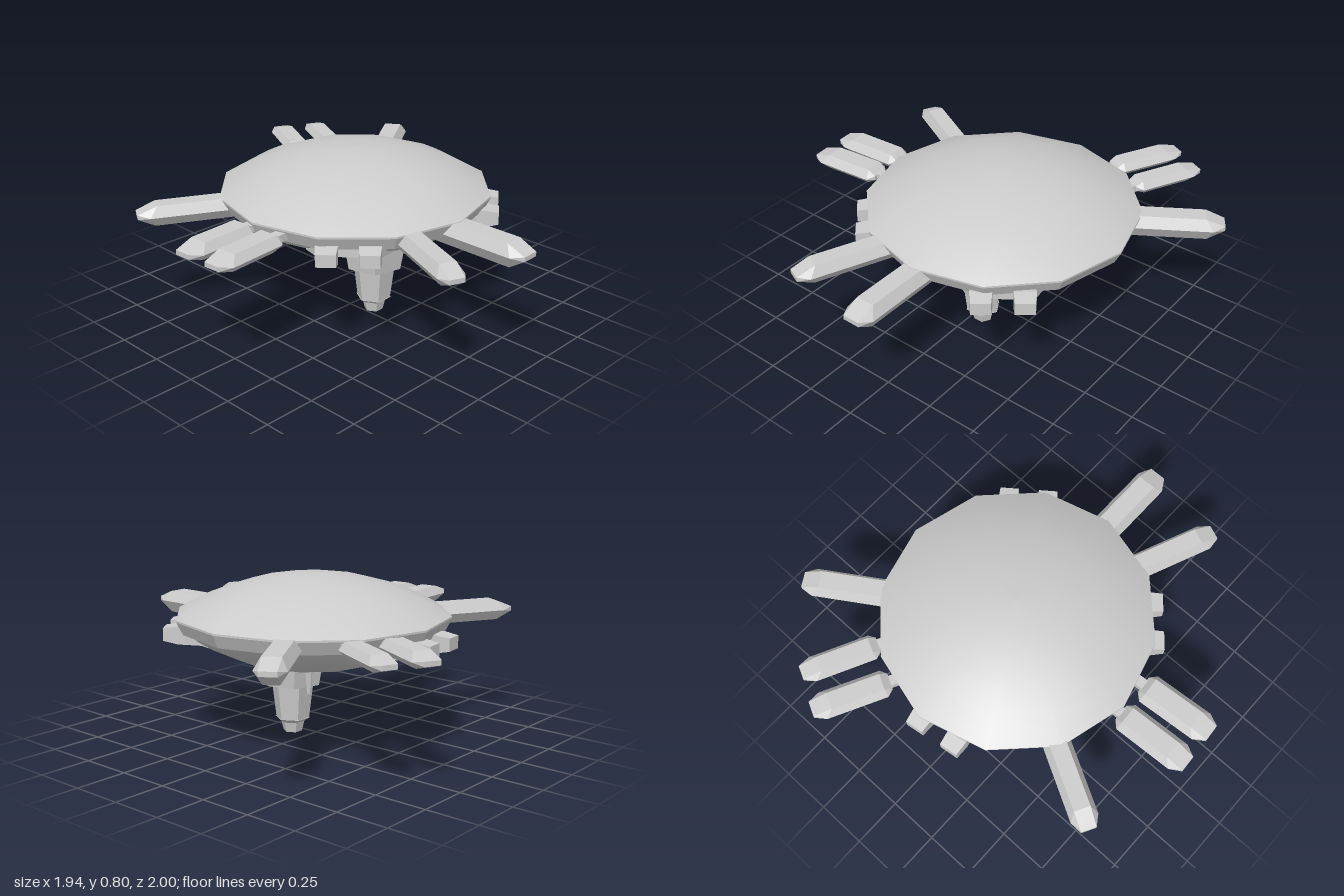
import * as THREE from 'three';
import { ConvexGeometry } from 'three/addons/geometries/ConvexGeometry.js';

const CX = 0.06, CZ = -0.03; // disc axis
const V = (x, y, z) => new THREE.Vector3(x, y, z);

function createMaterial(flat) {
  return new THREE.MeshStandardMaterial({ color: 0xcccccc, flatShading: flat, side: THREE.DoubleSide });
}

export function createModel() {
  const root = new THREE.Group();
  root.name = 'discStation';
  const smooth = createMaterial(false), flat = createMaterial(true);

  const add = (name, geometry, material, parent = root) => {
    const mesh = new THREE.Mesh(geometry, material);
    mesh.name = name;
    parent.add(mesh);
    return mesh;
  };
  const hull = (name, points, parent) => add(name, new ConvexGeometry(points), flat, parent);

  // Twelve-sided disc: bowl, rim band and dome, profiles run bottom to top
  const disc = (name, profile, material) => {
    const points = profile.map(([r, y]) => new THREE.Vector2(r, y));
    add(name, new THREE.LatheGeometry(points, 12), material).position.set(CX, 0, CZ);
  };
  disc('lowerBowl', [[0, 0.395], [0.31, 0.395], [0.4, 0.425], [0.49, 0.465], [0.56, 0.51], [0.6, 0.55]], smooth);
  disc('rim', [[0.58, 0.545], [0.625, 0.545], [0.655, 0.605], [0.655, 0.614]], flat);
  disc('dome', [[0.655, 0.614], [0.6, 0.645], [0.5, 0.695], [0.39, 0.737], [0.26, 0.773], [0.13, 0.794], [0, 0.8]], smooth);

  // Hanging tower of stacked hexagonal tapers
  const tower = new THREE.Group();
  tower.name = 'tower';
  tower.position.set(0.05, 0, 0.11);
  root.add(tower);
  [
    ['towerBase', 0.172, 0.143, 0.41, 0.245, Math.PI / 12],
    ['towerShaft', 0.104, 0.082, 0.25, 0.07, Math.PI / 6],
    ['towerCollar', 0.086, 0.058, 0.07, 0.05, Math.PI / 6],
    ['towerTip', 0.058, 0.046, 0.05, 0, Math.PI / 6],
  ].forEach(([name, rTop, rBottom, top, bottom, turn]) => {
    const section = add(name, new THREE.CylinderGeometry(rTop, rBottom, top - bottom, 6), flat, tower);
    section.position.y = (top + bottom) / 2;
    section.rotation.y = turn;
  });

  // Antenna spikes under the bowl
  [[0.3, 0.05, 0.3], [0.285, -0.2, 0.29], [-0.19, -0.04, 0.31]].forEach(([x, z, bottom]) => {
    const spike = add('antenna', new THREE.CylinderGeometry(0.018, 0.009, 0.41 - bottom, 6), flat);
    spike.position.set(x, (0.41 + bottom) / 2, z);
  });

  // Docking arm: bevelled bar with tapered tip; free arms taper at both ends
  const arm = ([x0, z0, x1, z1, width, top, bottom, free]) => {
    const length = Math.hypot(x1 - x0, z1 - z0), w = width / 2;
    const mid = top - Math.min(0.05, (top - bottom) * 0.5);
    const points = [];
    const ring = (s, sTop, sBottom) => {
      for (const side of [-1, 1]) {
        points.push(V(side * w * 0.6, top, sTop), V(side * w, mid, s), V(side * w * 0.5, bottom, sBottom));
      }
    };
    const nose = (s) => {
      for (const side of [-1, 1]) points.push(V(side * w * 0.55, mid + 0.012, s), V(side * w * 0.55, mid - 0.01, s));
    };
    ring(length - 0.055, length - 0.09, length - 0.08);
    nose(length);
    if (free) {
      ring(0.03, 0.035, 0.05);
      nose(0);
    } else {
      ring(-0.06, -0.06, -0.06);
    }
    const group = new THREE.Group();
    group.name = 'dockingArm';
    group.position.set(x0, 0, z0);
    group.rotation.y = Math.atan2(x1 - x0, z1 - z0);
    root.add(group);
    hull('armBody', points, group);
    if (free) {
      add('armStub', new THREE.BoxGeometry(0.05, 0.035, 0.16), flat, group).position.set(0, 0.58, -0.03);
    }
  };
  [
    [0.06, 0.55, 0.06, 1.0, 0.15, 0.612, 0.5, false],
    [-0.19, 0.56, -0.345, 0.935, 0.13, 0.615, 0.52, false],
    [0.61, -0.35, 0.945, -0.565, 0.14, 0.618, 0.505, false],
    [-0.49, -0.36, -0.84, -0.55, 0.13, 0.618, 0.52, false],
    [-0.6, -0.055, -0.975, -0.035, 0.145, 0.62, 0.54, true],
    [-0.59, 0.115, -0.965, 0.145, 0.15, 0.62, 0.54, true],
    [0.28, -0.65, 0.45, -0.985, 0.135, 0.62, 0.55, true],
    [0.445, -0.56, 0.61, -0.895, 0.125, 0.62, 0.55, true],
  ].forEach(arm);

  // Paired thruster blocks with a shared wedge mount, in three places under the rim
  [52.5, 138.5, -98].forEach((degrees) => {
    const pod = new THREE.Group();
    pod.name = 'thrusterPair';
    pod.position.set(CX, 0, CZ);
    pod.rotation.y = Math.PI / 2 - THREE.MathUtils.degToRad(degrees);
    root.add(pod);
    const mount = [];
    for (const side of [-1, 1]) {
      mount.push(V(side * 0.14, 0.55, 0.59), V(side * 0.14, 0.5, 0.59), V(side * 0.17, 0.55, 0.45),
        V(side * 0.2, 0.47, 0.45));
      const block = [];
      for (const edge of [-0.05, 0.05]) {
        const x = side * 0.095;
        block.push(V(x + edge, 0.565, 0.62), V(x + edge * 0.9, 0.555, 0.69), V(x + edge * 0.9, 0.495, 0.69),
          V(x + edge, 0.48, 0.62), V(x + edge * 0.8, 0.47, 0.46), V(x + edge * 0.8, 0.55, 0.46));
      }
      hull('thrusterBlock', block, pod);
    }
    hull('thrusterMount', mount, pod);
  });

  return root;
}
